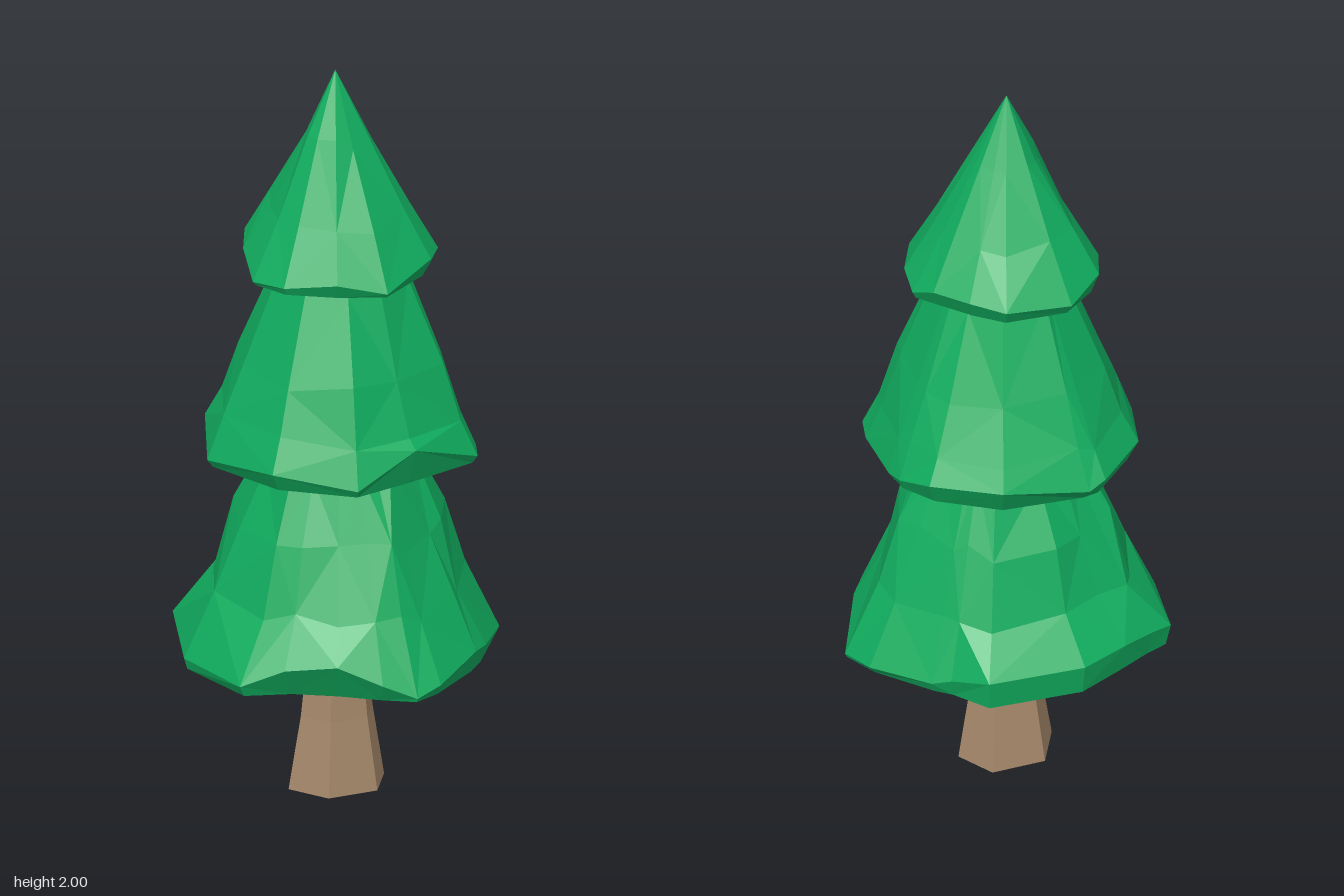
import * as THREE from 'three';

// Seeded noise for the hand-cut facets, in -1..1
function makeNoise(seed) {
  let s = seed;
  return () => {
    s = (s * 16807) % 2147483647;
    return (s / 2147483647) * 2 - 1;
  };
}

// Skin a stack of equal-length rings (bottom to top) and close both ends
function loft(name, rings, bottom, top, color) {
  const pos = [];
  const tri = (a, b, c) => pos.push(...a, ...b, ...c);
  const n = rings[0].length;
  for (let i = 0; i < n; i++) {
    const j = (i + 1) % n;
    tri(bottom, rings[0][i], rings[0][j]);
    for (let r = 0; r < rings.length - 1; r++) {
      const low = rings[r], up = rings[r + 1];
      if ((i + r) % 2) {
        tri(low[j], low[i], up[i]);
        tri(low[j], up[i], up[j]);
      } else {
        tri(low[j], low[i], up[j]);
        tri(low[i], up[i], up[j]);
      }
    }
    const last = rings[rings.length - 1];
    tri(top, last[j], last[i]);
  }
  const geo = new THREE.BufferGeometry();
  geo.setAttribute('position', new THREE.Float32BufferAttribute(pos, 3));
  geo.computeVertexNormals();
  const mesh = new THREE.Mesh(geo, new THREE.MeshStandardMaterial({ color, flatShading: true }));
  mesh.name = name;
  return mesh;
}

// One skirt of branches. rim: [x, z, lift above base, inset of underside];
// levels: [height, fraction of the rim outline]
function branchTier(name, { rim, base, levels, apex, seed, rough }) {
  const noise = makeNoise(seed);
  const mean = rim.reduce((sum, p) => sum + Math.hypot(p[0], p[1]), 0) / rim.length;
  const rings = [
    rim.map(([x, z, , k = 0.96]) => [x * k, base, z * k]),
    rim.map(([x, z, lift = 0.02]) => [x, base + lift, z]),
  ];
  for (const [y, f] of levels) {
    const t = 1 - f;
    rings.push(rim.map(([x, z]) => {
      // the outline grows rounder towards the top
      const round = THREE.MathUtils.lerp(1, mean / Math.hypot(x, z), t);
      const s = f * round * (1 + noise() * rough);
      return [x * s + apex[0] * t, y + noise() * rough * 0.5, z * s + apex[2] * t];
    }));
  }
  return loft(name, rings, [0, base, 0], apex, 0x11ad5f);
}

export function createModel() {
  const tree = new THREE.Group();
  tree.name = 'pineTree';

  // Six-sided trunk, flared at the foot
  const foot = [[-0.08, -0.13], [0.07, -0.13], [0.12, -0.02], [0.06, 0.09], [-0.08, 0.1], [-0.155, 0]];
  const trunkRings = [[0, 1], [0.2, 0.75], [0.45, 0.55]].map(([y, s]) =>
    foot.map(([x, z]) => [-0.012 + (x + 0.012) * s, y, -0.015 + (z + 0.015) * s]));
  tree.add(loft('trunk', trunkRings, [-0.012, 0, -0.015], [-0.012, 0.45, -0.015], 0xa5886a));

  // Widest skirt, with a notch in its front rim
  tree.add(branchTier('lowerBranches', {
    base: 0.37, seed: 11, rough: 0.045, apex: [-0.005, 1.03, -0.01],
    rim: [
      [-0.07, -0.42, 0.08, 0.97], [0.195, -0.4, 0.08, 0.97], [0.26, -0.3, 0.05], [0.3, -0.26, 0.03],
      [0.41, -0.105, 0.02], [0.435, 0, 0.01, 0.99], [0.32, 0.21, 0.05], [0.27, 0.27, 0.06],
      [0.125, 0.395, 0.03], [0.05, 0.42, 0.01, 0.99], [-0.04, 0.4, 0.05, 0.92], [-0.15, 0.355, 0.1, 0.86],
      [-0.27, 0.28, 0.08, 0.88], [-0.375, 0.225, 0.03], [-0.44, -0.02, 0.03, 0.98],
      [-0.375, -0.28, 0.06, 0.97], [-0.31, -0.31, 0.07], [-0.21, -0.36, 0.08],
    ],
    levels: [[0.57, 0.81], [0.75, 0.64], [0.93, 0.47], [1.0, 0.42]],
  }));

  // Middle skirt
  tree.add(branchTier('middleBranches', {
    base: 0.93, seed: 29, rough: 0.03, apex: [-0.01, 1.53, -0.015],
    rim: [
      [-0.1, -0.38, 0.03, 0.93], [0.14, -0.365, 0.07, 0.9], [0.295, -0.235, 0.06, 0.92], [0.335, -0.13, 0.03],
      [0.34, -0.07, 0.02], [0.325, 0.12, 0.02], [0.3, 0.2, 0.02], [0.09, 0.3, 0.1, 0.9],
      [-0.085, 0.335, 0.02], [-0.28, 0.215, 0.05, 0.92], [-0.375, -0.02, 0.02],
      [-0.3, -0.24, 0.06, 0.92], [-0.15, -0.37, 0.05, 0.93],
    ],
    levels: [[1.06, 0.9], [1.2, 0.74], [1.44, 0.49], [1.5, 0.43]],
  }));

  // Pointed crown
  tree.add(branchTier('topBranches', {
    base: 1.45, seed: 53, rough: 0.035, apex: [-0.015, 2, -0.025],
    rim: [
      [-0.09, -0.285, 0.03, 0.93], [0.09, -0.27, 0.04, 0.92], [0.165, -0.2, 0.05, 0.9], [0.23, -0.11, 0.05, 0.9],
      [0.26, -0.04, 0.02], [0.245, 0.05, 0.04, 0.92], [0.19, 0.145, 0.05, 0.9], [0.03, 0.25, 0.01, 0.97],
      [-0.1, 0.22, 0.04, 0.92], [-0.22, 0.14, 0.02], [-0.27, 0.04, 0.01, 0.97],
      [-0.245, -0.1, 0.05, 0.93], [-0.2, -0.21, 0.06, 0.92],
    ],
    levels: [[1.62, 0.72], [1.82, 0.34]],
  }));

  return tree;
}
